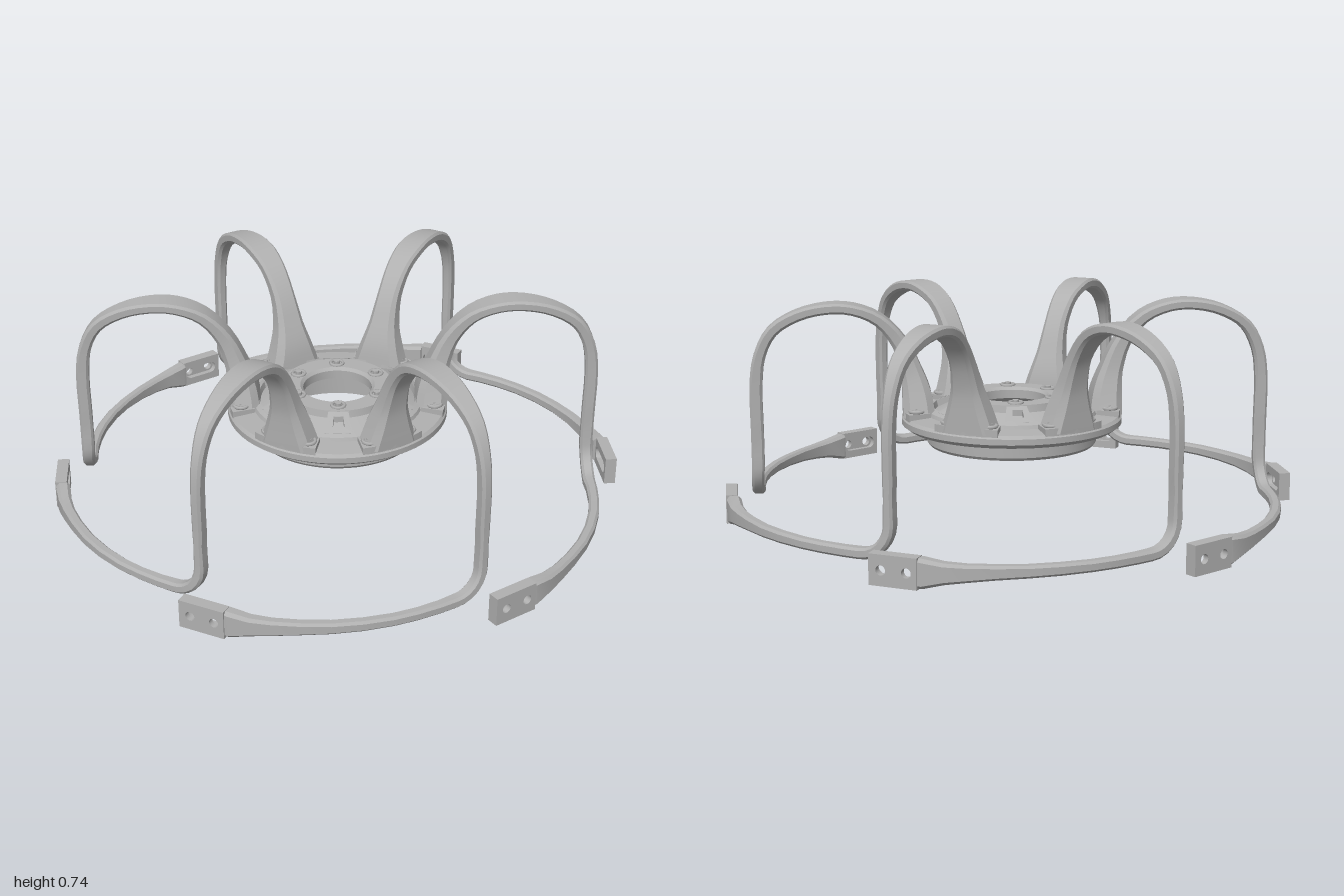
import * as THREE from 'three';
import { toCreasedNormals } from 'three/addons/utils/BufferGeometryUtils.js';

const rad = THREE.MathUtils.degToRad;
const V = (x, y, z) => new THREE.Vector3(x, y, z);
const metal = new THREE.MeshStandardMaterial({ color: 0xb0b0b0 });
metal.name = 'grey metal';

function add(parent, geometry, name) {
  const mesh = new THREE.Mesh(geometry, metal);
  mesh.name = name;
  parent.add(mesh);
  return mesh;
}

// Ring sector outline, angles in degrees
function sector(Type, r0, r1, mid, half) {
  const s = new Type();
  s.absarc(0, 0, r1, rad(mid - half), rad(mid + half), false);
  s.absarc(0, 0, r0, rad(mid + half), rad(mid - half), true);
  s.closePath();
  return s;
}

// Extrude a flat outline upwards from height y
function slab(shape, y, depth) {
  const g = new THREE.ExtrudeGeometry(shape, { depth, bevelEnabled: false, curveSegments: 8 });
  return g.rotateX(-Math.PI / 2).translate(0, y, 0);
}

// Sweep a chamfered rectangle along stations { p, n, w, h }
function sweep(stations) {
  const pos = [], idx = [], count = stations.length;
  stations.forEach(({ p, n, w, h }, i) => {
    const t = stations[Math.min(i + 1, count - 1)].p.clone().sub(stations[Math.max(i - 1, 0)].p).normalize();
    const b = t.clone().cross(n).normalize();
    const c = Math.min(w, h) * 0.22, H = h / 2, W = w / 2;
    const ring = [[H, c - W], [H, W - c], [H - c, W], [c - H, W], [-H, W - c], [-H, c - W], [c - H, -W], [H - c, -W]];
    for (const [u, v] of ring) {
      pos.push(...p.clone().addScaledVector(n, u).addScaledVector(b, v).toArray());
    }
  });
  for (let i = 0; i < count - 1; i++) {
    for (let j = 0; j < 8; j++) {
      const a = i * 8 + j, b = i * 8 + (j + 1) % 8;
      idx.push(a, b, b + 8, a, b + 8, a + 8);
    }
  }
  const e = (count - 1) * 8;
  for (let j = 1; j < 7; j++) idx.push(0, j + 1, j, e, e + j, e + j + 1);
  const g = new THREE.BufferGeometry();
  g.setAttribute('position', new THREE.Float32BufferAttribute(pos, 3));
  g.setIndex(idx);
  return toCreasedNormals(g, 0.5);
}

// Arch, leg, bend and curved foot as one continuous bar
function limbGeometry() {
  // radius, height, width, thickness
  const arch = [
    [0.325, 0.35, 0.19, 0.11], [0.332, 0.42, 0.145, 0.10], [0.35, 0.5, 0.10, 0.075],
    [0.39, 0.6, 0.08, 0.055], [0.46, 0.68, 0.085, 0.042], [0.55, 0.718, 0.095, 0.036],
    [0.64, 0.722, 0.088, 0.036], [0.74, 0.698, 0.07, 0.038], [0.825, 0.645, 0.054, 0.04],
    [0.87, 0.56, 0.042, 0.042], [0.885, 0.46, 0.037, 0.044], [0.885, 0.3, 0.036, 0.044],
    [0.885, 0.165, 0.036, 0.044],
  ];
  const path = new THREE.CatmullRomCurve3(arch.map(a => V(a[0], a[1], 0)));
  const size = new THREE.CatmullRomCurve3(arch.map(a => V(a[2], a[3], 0)));
  const stations = [];
  for (let i = 0; i <= 36; i++) {
    const t = path.getTangent(i / 36), s = size.getPoint(i / 36);
    stations.push({ p: path.getPoint(i / 36), n: V(-t.y, t.x, 0).normalize(), w: s.x, h: s.y });
  }
  const polar = (deg, r, y, w, h) => {
    const n = V(Math.cos(rad(deg)), 0, Math.sin(rad(deg)));
    stations.push({ p: n.clone().multiplyScalar(r).setY(y), n, w, h });
  };
  for (let i = 1; i <= 6; i++) {
    const a = i / 6 * Math.PI / 2;
    polar(6.5 * (1 - Math.cos(a)), 0.885 + 0.01 * i / 6, 0.165 - 0.1 * Math.sin(a), 0.036, 0.042);
  }
  // angle, radius, height, width, thickness
  const foot = [
    [10, 0.905, 0.065, 0.036, 0.038], [15, 0.918, 0.065, 0.036, 0.036], [20, 0.93, 0.065, 0.036, 0.036],
    [26, 0.942, 0.065, 0.038, 0.036], [32, 0.952, 0.064, 0.04, 0.036], [38, 0.96, 0.063, 0.046, 0.036],
    [43, 0.967, 0.06, 0.055, 0.038], [47, 0.972, 0.058, 0.068, 0.044], [51, 0.973, 0.055, 0.096, 0.05],
    [51.6, 0.973, 0.055, 0.096, 0.046],
  ];
  foot.forEach(f => polar(...f));
  return sweep(stations);
}

// Half of the end plate, with holes of the given half-length
function plateGeometry(centres, radius, stretch, z) {
  const s = new THREE.Shape([[-0.08, -0.05], [0.08, -0.05], [0.08, 0.05], [-0.08, 0.05]].map(p => new THREE.Vector2(...p)));
  for (const x of centres) {
    const hole = new THREE.Path();
    hole.absarc(x + stretch, 0, radius, -Math.PI / 2, Math.PI / 2, false);
    hole.absarc(x - stretch, 0, radius, Math.PI / 2, Math.PI * 1.5, false);
    s.holes.push(hole);
  }
  return new THREE.ExtrudeGeometry(s, { depth: 0.02, bevelEnabled: false, curveSegments: 8 }).translate(0, 0, z);
}

// Bolt: washer ring with a hexagonal head inside
function addBolt(parent, deg, r, y, size, name) {
  const bolt = new THREE.Group();
  bolt.name = name;
  bolt.position.set(r * Math.cos(rad(deg)), y, -r * Math.sin(rad(deg)));
  add(bolt, new THREE.CylinderGeometry(size * 0.55, size * 0.55, 0.02, 6), 'boltHead');
  add(bolt, new THREE.TorusGeometry(size, size * 0.28, 6, 16).rotateX(Math.PI / 2), 'boltWasher');
  parent.add(bolt);
}

export function createModel() {
  const model = new THREE.Group();
  model.name = 'sixArmedHub';

  // Hub: hollow below, conical above, with a ring groove for the pockets
  const hub = new THREE.Group();
  hub.name = 'hub';
  model.add(hub);
  const profile = [
    [0.12, 0.37], [0.19, 0.37], [0.25, 0.32], [0.25, 0.24], [0.29, 0.24], [0.297, 0.25], [0.297, 0.30],
    [0.365, 0.30], [0.385, 0.315], [0.385, 0.335], [0.375, 0.345], [0.30, 0.35], [0.295, 0.362],
    [0.275, 0.372], [0.27, 0.35], [0.2, 0.385], [0.195, 0.41], [0.13, 0.41], [0.12, 0.40], [0.12, 0.37],
  ].map(p => new THREE.Vector2(...p));
  add(hub, toCreasedNormals(new THREE.LatheGeometry(profile, 60), 0.4), 'hubBody');

  const limb = limbGeometry();
  const outerPlate = plateGeometry([-0.04, 0.045], 0.016, 0, 0);
  const innerPlate = plateGeometry([0.0025], 0.022, 0.045, -0.02);

  for (let k = 0; k < 6; k++) {
    const angle = 17.3 + k * 60;

    // Slotted rib between pockets, following the cone
    const shape = sector(THREE.Shape, 0.19, 0.28, angle + 30, 10);
    shape.holes.push(sector(THREE.Path, 0.215, 0.255, angle + 30, 4.5));
    const rib = slab(shape, 0.33, 0.04);
    const p = rib.attributes.position;
    for (let i = 0; i < p.count; i++) {
      p.setY(i, p.getY(i) + (0.28 - Math.hypot(p.getX(i), p.getZ(i))) * 0.44);
    }
    rib.computeVertexNormals();
    add(hub, rib, 'hubRib');

    // Mounting pad with its two bolts, and an inner bolt
    add(hub, slab(sector(THREE.Shape, 0.302, 0.38, angle, 18), 0.335, 0.03), 'mountingPad');
    for (const side of [-1, 1]) addBolt(hub, angle + side * 12.5, 0.343, 0.37, 0.024, 'padBolt');
    addBolt(hub, angle + 30, 0.157, 0.412, 0.022, 'innerBolt');

    // Arm with its curved foot and drilled end plate
    const arm = new THREE.Group();
    arm.name = 'arm';
    arm.rotation.y = rad(angle);
    model.add(arm);
    add(arm, limb, 'armBar');
    const end = new THREE.Group();
    end.name = 'endPlate';
    const d = rad(56.2);
    end.position.set(0.977 * Math.cos(d), 0.055, 0.977 * Math.sin(d));
    end.rotation.y = Math.PI / 2 - d;
    add(end, outerPlate, 'drilledPlate');
    add(end, innerPlate, 'slottedPlate');
    arm.add(end);
  }
  model.position.y = -0.005;
  return model;
}
